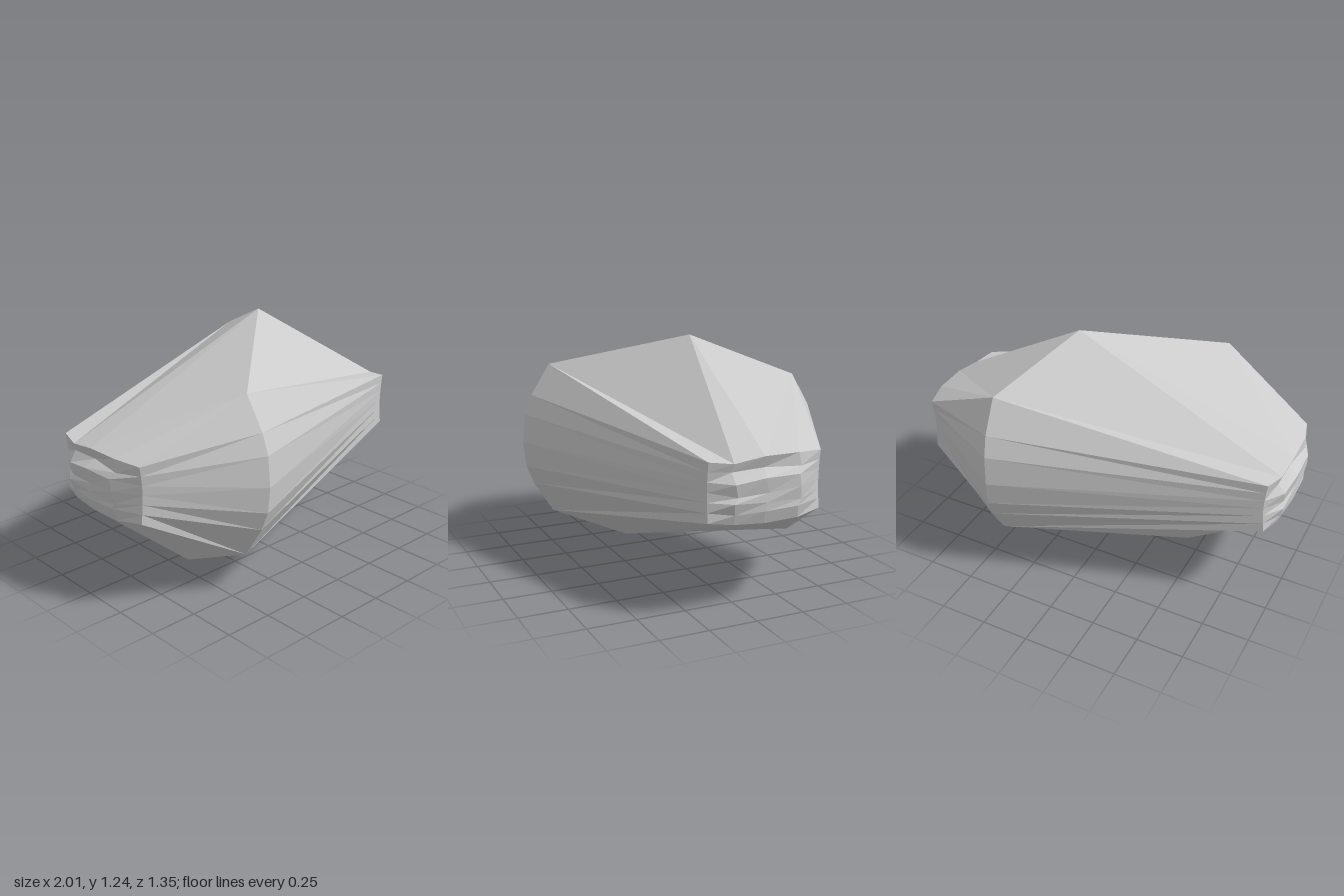
import * as THREE from 'three';

const CENTRE = new THREE.Vector3(0, 0.61, 0);

// Flat-shaded mesh from triangles, each turned to face away from the centre
function facetMesh(name, triangles) {
  const points = [];
  for (const [a, b, c] of triangles) {
    const normal = b.clone().sub(a).cross(c.clone().sub(a));
    const outward = a.clone().add(b).add(c).divideScalar(3).sub(CENTRE);
    points.push(...(normal.dot(outward) < 0 ? [a, c, b] : [a, b, c]));
  }
  const geometry = new THREE.BufferGeometry().setFromPoints(points);
  geometry.computeVertexNormals();
  const mesh = new THREE.Mesh(geometry, new THREE.MeshStandardMaterial({ color: 0xcccccc, flatShading: true }));
  mesh.name = name;
  return mesh;
}

// Strip of quads between two columns of points
function strip(p, q) {
  const triangles = [];
  for (let i = 0; i < p.length - 1; i++) {
    triangles.push([p[i], q[i], q[i + 1]], [p[i], q[i + 1], p[i + 1]]);
  }
  return triangles;
}

// Vertical ridge of seven points, bottom to top; side = 1 front, -1 back
const ridgeRows = [[0.42, 0.205, 0.513], [0.415, 0.377, 0.62], [0.405, 0.48, 0.662], [0.395, 0.615, 0.675],
  [0.4, 0.77, 0.66], [0.41, 0.875, 0.62], [0.42, 1.04, 0.515]];
const ridge = (side) => ridgeRows.map(([x, y, z]) =>
  new THREE.Vector3(side > 0 ? -0.42 : x, y, side * z));

// Bulged, chipped end: five columns [x, bottom y, top y, z] of seven points
const endColumns = [[0.935, 0.485, 0.77, 0.23], [0.965, 0.473, 0.757, 0.115], [0.975, 0.464, 0.78, -0.04],
  [0.97, 0.468, 0.779, -0.22], [0.935, 0.485, 0.77, -0.36]];
function endGrid(side) {
  return endColumns.map(([x, y0, y1, z], c) => Array.from({ length: 7 }, (_, r) => {
    const inner = c > 0 && c < 4;
    const bulge = (inner ? 0.027 : -0.012) * Math.sin(Math.PI * r / 6);
    const chip = inner && r > 0 && r < 6 ? 0.012 * Math.sin(c * 5.3 + r * 4.1) : 0;
    const notch = r === 5 && (c === 1 || c === 2) ? 0.03 : 0;
    return new THREE.Vector3(side * (x + bulge + chip * 0.7 - notch),
      y0 + (y1 - y0) * r / 6 + chip, side * (z + chip));
  }));
}

export function createModel() {
  const group = new THREE.Group();
  group.name = 'facetedStone';
  const top = new THREE.Vector3(0.19, 1.24, -0.04);
  const bottom = new THREE.Vector3(-0.42, 0, 0.07);
  const sides = [], upper = [], lower = [];

  for (const side of [1, -1]) {
    const near = ridge(side), far = ridge(-side), end = endGrid(side);

    // Long and short flanks between the ridges and this end
    sides.push(...strip(near, end[0]), ...strip(far, end[4]));

    // Facets from the end's rim to the peak and to the base point
    for (const [list, row, apex] of [[upper, 6, top], [lower, 0, bottom]]) {
      const e = end.map((column) => column[row]);
      const n = near[row], f = far[row];
      list.push([n, e[0], e[1]], [n, e[1], apex], [apex, e[1], e[2]],
        [apex, e[2], f], [f, e[2], e[3]], [f, e[3], e[4]]);
    }

    // Blunt end face
    const face = [];
    for (let c = 0; c < 4; c++) face.push(...strip(end[c], end[c + 1]));
    group.add(facetMesh(side > 0 ? 'leftEnd' : 'rightEnd', face));
  }

  group.add(facetMesh('flanks', sides), facetMesh('topFacets', upper), facetMesh('bottomFacets', lower));
  return group;
}
